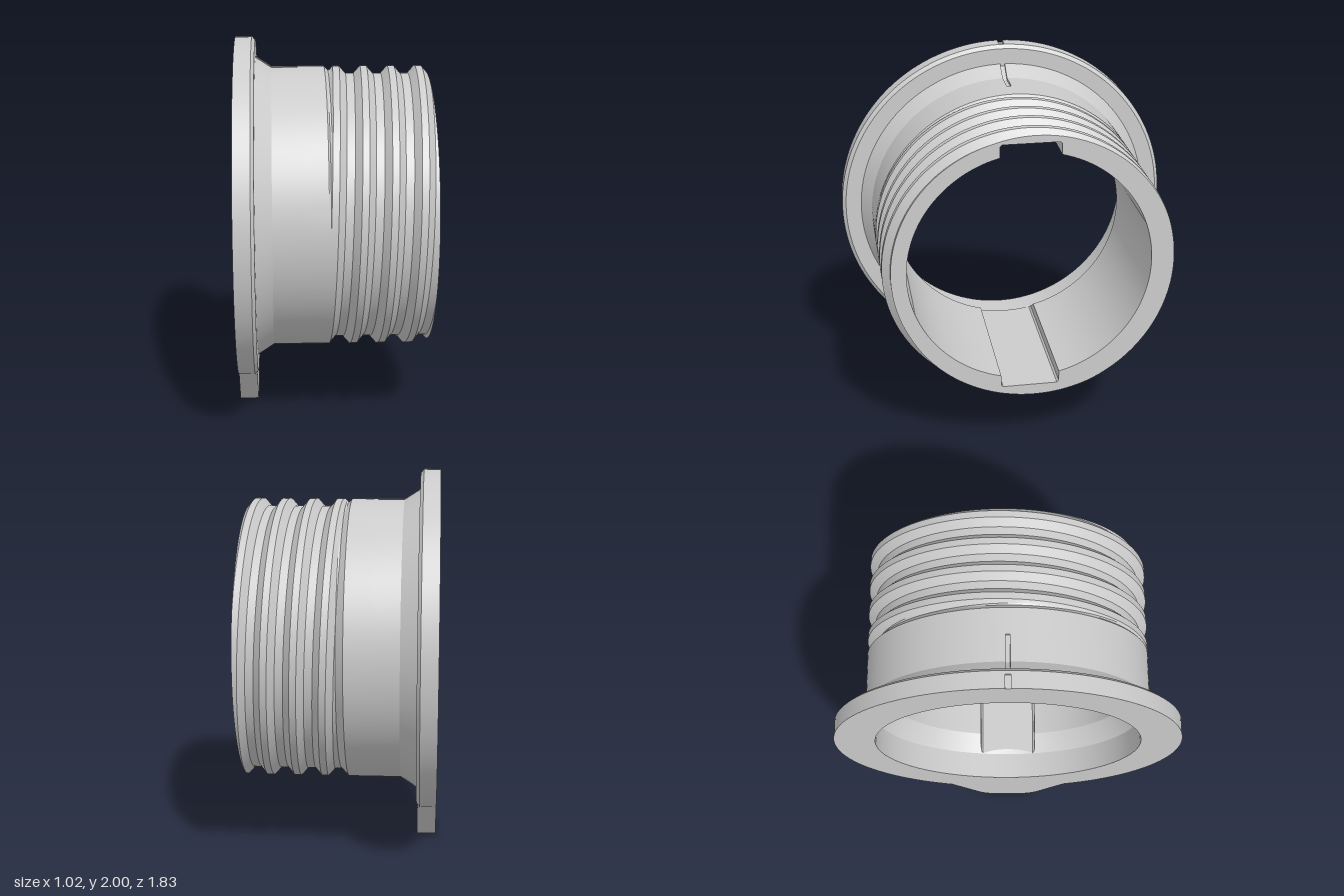
import * as THREE from 'three';
import { toCreasedNormals } from 'three/addons/utils/BufferGeometryUtils.js';

const TAU = Math.PI * 2;
const CY = 1.085;            // height of the tube axis (runs along x)
const END = 0.51;            // half length
const RIM = 0.915, NECK = 0.755, ROOT = 0.715, BORE = 0.635, COUNTERBORE = 0.70;
const PITCH = 0.147;
const clamp = THREE.MathUtils.clamp;

// Angles around the axis, 0 = top, growing towards +z; extra ones at keyway and notch edges
function makeAngles() {
  const list = [];
  for (let i = 0; i <= 144; i++) list.push(i / 144 * TAU);
  const key = [Math.asin(0.155 / BORE), Math.atan(0.155 / 0.673), Math.atan(0.145 / 0.683)];
  for (const k of key) list.push(k, TAU - k, Math.PI - k, Math.PI + k);
  for (const k of [0.0145, 0.0155]) list.push(k, TAU - k);
  return list.sort((a, b) => a - b);
}
const ANGLES = makeAngles();

// Sweep a profile of [x, radius] points, which may vary with the angle, around the axis
function sweep(profile) {
  const columns = ANGLES.map(a => profile(a).map(([x, r]) =>
    new THREE.Vector3(x, CY + r * Math.cos(a), r * Math.sin(a))));
  const pos = [];
  const tri = (a, b, c) => {
    const area = b.clone().sub(a).cross(c.clone().sub(a)).length();
    if (area > 1e-9) pos.push(...a.toArray(), ...b.toArray(), ...c.toArray());
  };
  for (let j = 0; j < columns.length - 1; j++) {
    const p = columns[j], q = columns[j + 1];
    for (let i = 0; i < p.length - 1; i++) {
      tri(p[i], q[i], p[i + 1]);
      tri(q[i], q[i + 1], p[i + 1]);
    }
  }
  const geo = new THREE.BufferGeometry();
  geo.setAttribute('position', new THREE.Float32BufferAttribute(pos, 3));
  return toCreasedNormals(geo, 0.35);
}

// Bore radius, widened by the two flat keyways at top and bottom
function boreRadius(a) {
  const s = Math.abs(Math.sin(a)), c = Math.abs(Math.cos(a));
  return Math.max(BORE, Math.min(0.155 / s, 0.683 / c, 0.828 / (s + c)));
}

// Depth of the narrow alignment notch on top
const notch = a => (Math.min(a, TAU - a) < 0.015 ? 0.012 : 0);

// Helical thread whose first groove runs out into the plain neck
const crest = a => 0.17 - PITCH * a / TAU;
function threadRadius(x, a) {
  const u = Math.abs(THREE.MathUtils.euclideanModulo(x - crest(a) + PITCH / 2, PITCH) - PITCH / 2);
  const depth = Math.min(clamp((u - 0.0175) / 0.035, 0, 1), clamp((x + 0.04) / 0.04, 0, 1));
  return NECK - (NECK - ROOT) * depth;
}
function threadPoints(a) {
  const xs = [-0.04, -0.03, -0.02, -0.01, 0, END];
  for (let k = -3; k <= 4; k++)
    for (const d of [-0.0525, -0.0175, 0.0175, 0.0525])
      xs.push(clamp(crest(a) + k * PITCH + d, -0.04, END));
  return xs.sort((p, q) => p - q).map(x => [x, threadRadius(x, a)]);
}

export function createModel() {
  const group = new THREE.Group();
  const material = new THREE.MeshStandardMaterial({ color: 0xcccccc });
  const add = (name, geometry) => {
    const mesh = new THREE.Mesh(geometry, material);
    mesh.name = name;
    group.add(mesh);
    return mesh;
  };

  // Bore with keyways, opening through a cone into the counterbore
  add('bore', sweep(a => {
    const r = boreRadius(a);
    const x = -0.37 + 0.1 * (COUNTERBORE - r) / (COUNTERBORE - BORE);
    return [[END, r], [x, r], [-0.37, COUNTERBORE], [-END, COUNTERBORE]];
  }));

  // Flange with chamfered inner edge and notched rim
  add('flange', sweep(a => {
    const g = notch(a);
    return [[-END, COUNTERBORE], [-END, RIM - g], [-0.44, RIM - g], [-0.44, RIM],
      [-0.422, RIM], [-0.405, 0.895], [-0.405, 0.81 - g]];
  }));

  // Neck with conical shoulder, thread and end face
  add('threadedNeck', sweep(a => {
    const g = notch(a);
    return [[-0.405, 0.81 - g], [-0.32, NECK - g], [-0.18, NECK - g], [-0.18, NECK],
      ...threadPoints(a), [END, boreRadius(a)]];
  }));

  // Tab under the flange
  const shape = new THREE.Shape();
  const half = Math.asin(0.33 / RIM);
  shape.moveTo(-0.33, 0.232);
  shape.lineTo(-0.18, 0.055);
  shape.quadraticCurveTo(-0.135, 0, -0.07, 0);
  shape.lineTo(0.07, 0);
  shape.quadraticCurveTo(0.135, 0, 0.18, 0.055);
  shape.lineTo(0.33, 0.232);
  shape.absarc(0, CY, RIM - 0.005, -Math.PI / 2 + half, -Math.PI / 2 - half, true);
  const tab = add('tab', toCreasedNormals(
    new THREE.ExtrudeGeometry(shape, { depth: 0.1, bevelEnabled: false, curveSegments: 16 }), 0.35));
  tab.rotation.y = Math.PI / 2;
  tab.position.x = -END;

  return group;
}
